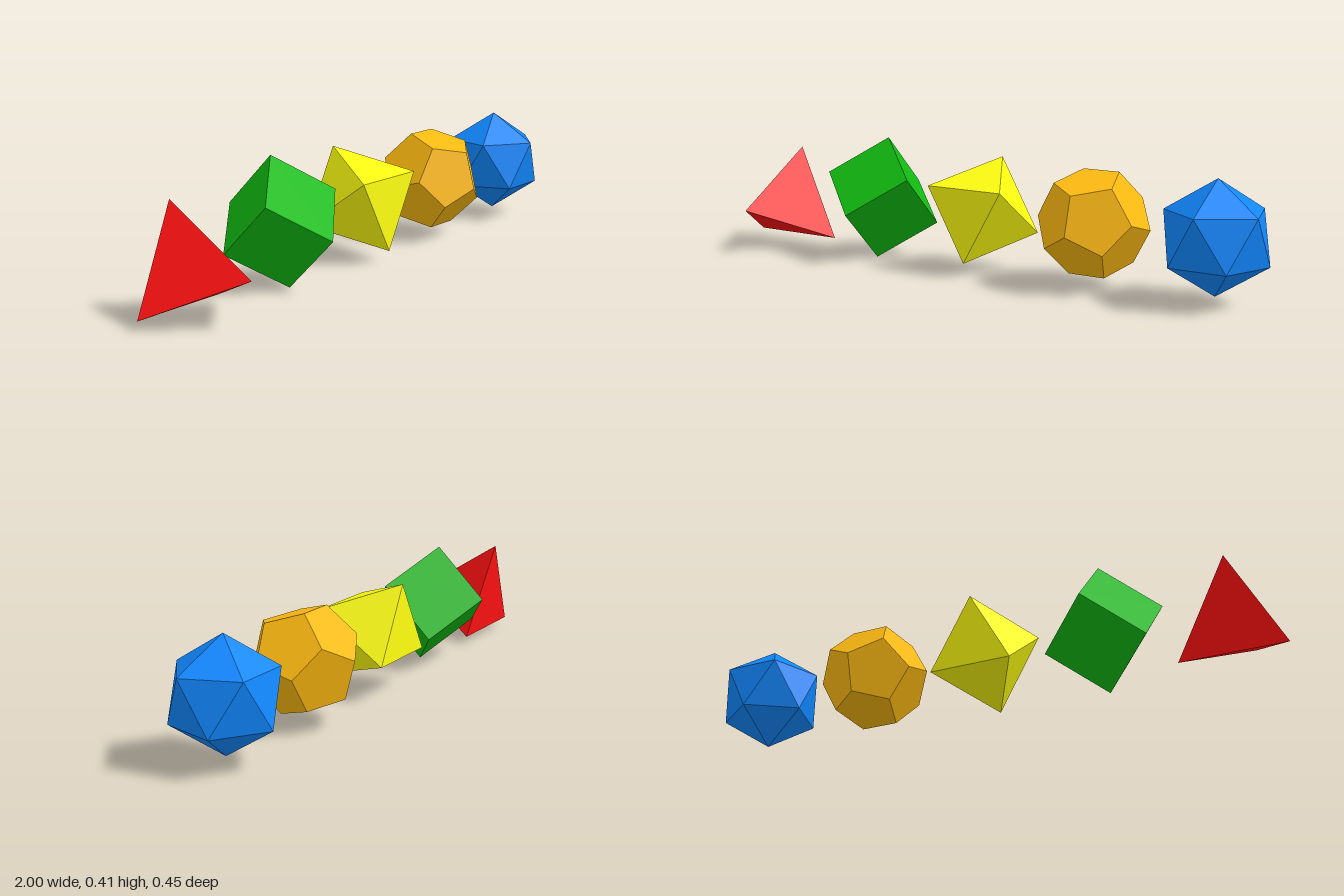
import * as THREE from 'three';

const SPACING = 0.4185;
const FIRST_X = -0.827;
const CENTRE_Y = 0.204;
const CENTRE_Z = -0.02;

// Five solids in a row; turn (about y) is applied before tilt (about x), in degrees
const solids = [
  { name: 'tetrahedron', color: 0xff1111, tilt: -24, turn: 0, geometry: () => new THREE.ConeGeometry(0.199, 0.299, 3) },
  { name: 'cube', color: 0x11bb11, tilt: 45, turn: 45, geometry: () => new THREE.BoxGeometry(0.239, 0.239, 0.239) },
  { name: 'octahedron', color: 0xffff11, tilt: -35.26, turn: 45, geometry: () => new THREE.OctahedronGeometry(0.199) },
  { name: 'dodecahedron', color: 0xffbb11, tilt: -15, turn: 0, geometry: () => new THREE.DodecahedronGeometry(0.179) },
  // Tilted to stand on a vertex
  { name: 'icosahedron', color: 0x1188ff, tilt: -58.28, turn: 0, geometry: () => new THREE.IcosahedronGeometry(0.179) },
];

export function createModel() {
  const model = new THREE.Group();
  model.name = 'platonicSolids';
  solids.forEach(({ name, color, tilt, turn, geometry }, i) => {
    const material = new THREE.MeshStandardMaterial({ color, flatShading: true });
    const mesh = new THREE.Mesh(geometry(), material);
    mesh.name = name;
    mesh.position.set(FIRST_X + i * SPACING, CENTRE_Y, CENTRE_Z);
    mesh.rotation.set(THREE.MathUtils.degToRad(tilt), THREE.MathUtils.degToRad(turn), 0);
    model.add(mesh);
  });
  return model;
}
